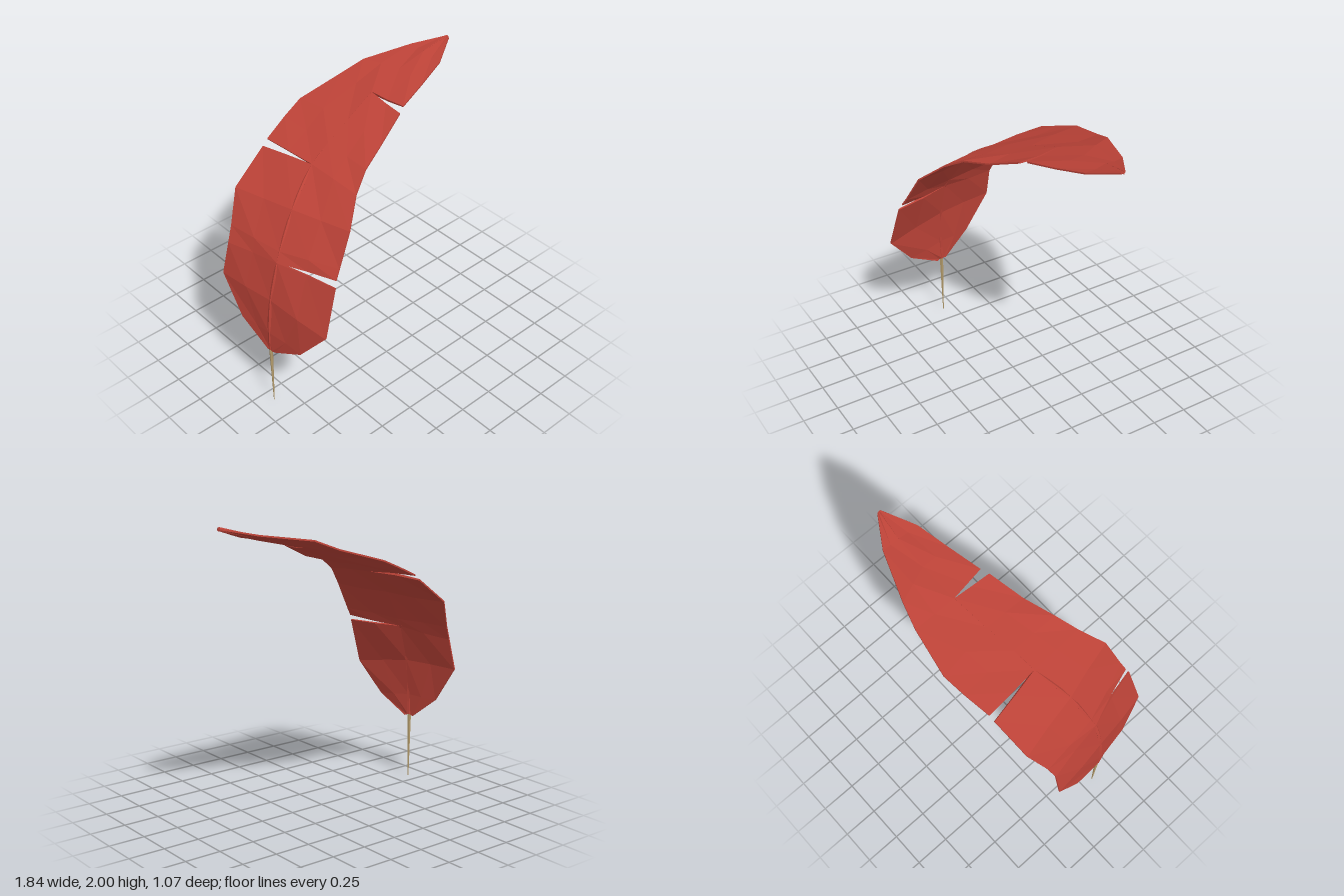
import * as THREE from 'three';

const V = (p) => new THREE.Vector3(...p);

// Points along the shaft, base to tip
const spine = [
  [-0.875, 0.47, 0.085], [-0.88, 0.62, 0.09], [-0.855, 0.88, 0.09], [-0.785, 1.14, 0.085],
  [-0.75, 1.2, 0.07], [-0.6, 1.42, 0.02], [-0.36, 1.6, -0.07], [-0.2, 1.67, -0.1],
  [0, 1.74, -0.14], [0.24, 1.83, -0.18], [0.5, 1.89, -0.2], [0.72, 1.94, -0.2], [0.92, 1.99, -0.18],
].map(V);

// Vane pieces between splits: first shaft station, then outer edge points
const leftPieces = [
  [0, [[-0.87, 0.455, 0.12], [-0.84, 0.58, 0.35], [-0.78, 0.8, 0.53], [-0.67, 1.13, 0.5]]],
  [3, [[-0.65, 1.17, 0.485], [-0.61, 1.23, 0.47], [-0.49, 1.43, 0.43], [-0.34, 1.57, 0.32],
    [-0.2, 1.655, 0.25], [0, 1.705, 0.17], [0.23, 1.805, 0.095]]],
  [9, [[0.28, 1.825, 0.07], [0.5, 1.87, 0.01], [0.72, 1.925, -0.05], [0.915, 1.985, -0.165]]],
];
const rightPieces = [
  [0, [[-0.88, 0.46, 0.05], [-0.915, 0.62, -0.15], [-0.915, 0.88, -0.33], [-0.86, 1.1, -0.325],
    [-0.81, 1.2, -0.35], [-0.7, 1.4, -0.43], [-0.44, 1.58, -0.465]]],
  [6, [[-0.4, 1.615, -0.47], [-0.22, 1.69, -0.51], [-0.07, 1.75, -0.535], [0.24, 1.84, -0.485],
    [0.4, 1.905, -0.44], [0.72, 1.95, -0.32], [0.915, 1.99, -0.195]]],
];

// Closed thin shell lofted from a wedge-shaped section at each station
function vaneGeometry(start, edges, side) {
  const across = [[0, 0.011], [0.5, 0.008], [1, 0.005]];
  const rings = edges.map((e, r) => {
    const i = start + r;
    const root = spine[i], edge = V(e);
    const along = spine[Math.min(i + 1, 12)].clone().sub(spine[Math.max(i - 1, 0)]);
    const n = along.cross(edge.clone().sub(root)).normalize();
    const ripple = side * (i % 2 ? 0.008 : -0.006);
    const point = ([f, h], s) => root.clone().lerp(edge, f)
      .addScaledVector(n, h * s + (f === 0.5 ? ripple : 0));
    return [...across.map((a) => point(a, 1)), ...across.map((a) => point(a, -1)).reverse()];
  });
  const pos = [];
  const tri = (...pts) => pts.forEach((p) => pos.push(p.x, p.y, p.z));
  const quad = (a, b, c, d) => { tri(a, b, c); tri(a, c, d); };
  for (let r = 0; r < rings.length - 1; r++) {
    const A = rings[r], B = rings[r + 1];
    for (let k = 0; k < 6; k++) {
      const m = (k + 1) % 6;
      quad(A[k], B[k], B[m], A[m]);
    }
  }
  // End caps
  const A = rings[0], B = rings[rings.length - 1];
  for (let k = 0; k < 2; k++) {
    quad(A[k], A[k + 1], A[4 - k], A[5 - k]);
    quad(B[k], B[5 - k], B[4 - k], B[k + 1]);
  }
  const g = new THREE.BufferGeometry();
  g.setAttribute('position', new THREE.Float32BufferAttribute(pos, 3));
  g.computeVertexNormals();
  return g;
}

// Tube that narrows along its path
function taperedTube(points, r0, r1, segments, sides) {
  const curve = new THREE.CatmullRomCurve3(points);
  const g = new THREE.TubeGeometry(curve, segments, 1, sides);
  const p = g.attributes.position, v = new THREE.Vector3();
  for (let i = 0; i < p.count; i++) {
    const t = Math.floor(i / (sides + 1)) / segments;
    const c = curve.getPointAt(t);
    v.fromBufferAttribute(p, i).sub(c).multiplyScalar(r0 + (r1 - r0) * t).add(c);
    p.setXYZ(i, v.x, v.y, v.z);
  }
  g.computeVertexNormals();
  return g;
}

export function createModel() {
  const group = new THREE.Group();
  group.name = 'feather';
  const material = (name, color) => {
    const m = new THREE.MeshStandardMaterial({ color, flatShading: true, side: THREE.DoubleSide });
    m.name = name;
    return m;
  };
  const red = material('featherRed', 0xbb4237);
  const tan = material('quillTan', 0xb39b6b);
  const add = (name, geometry, mat) => {
    const mesh = new THREE.Mesh(geometry, mat);
    mesh.name = name;
    group.add(mesh);
    return mesh;
  };

  // Vanes on both sides of the shaft
  leftPieces.forEach(([s, e], i) => add(`leftVane${i + 1}`, vaneGeometry(s, e, 1), red));
  rightPieces.forEach(([s, e], i) => add(`rightVane${i + 1}`, vaneGeometry(s, e, -1), red));

  // Raised central shaft
  add('shaft', taperedTube(spine.slice(0, 11), 0.018, 0.005, 24, 5), red);

  // Bare quill below the vanes
  const quill = add('quill', new THREE.CylinderGeometry(0.014, 0.003, 0.5, 5), tan);
  quill.position.set(-0.877, 0.25, 0.084);
  return group;
}
